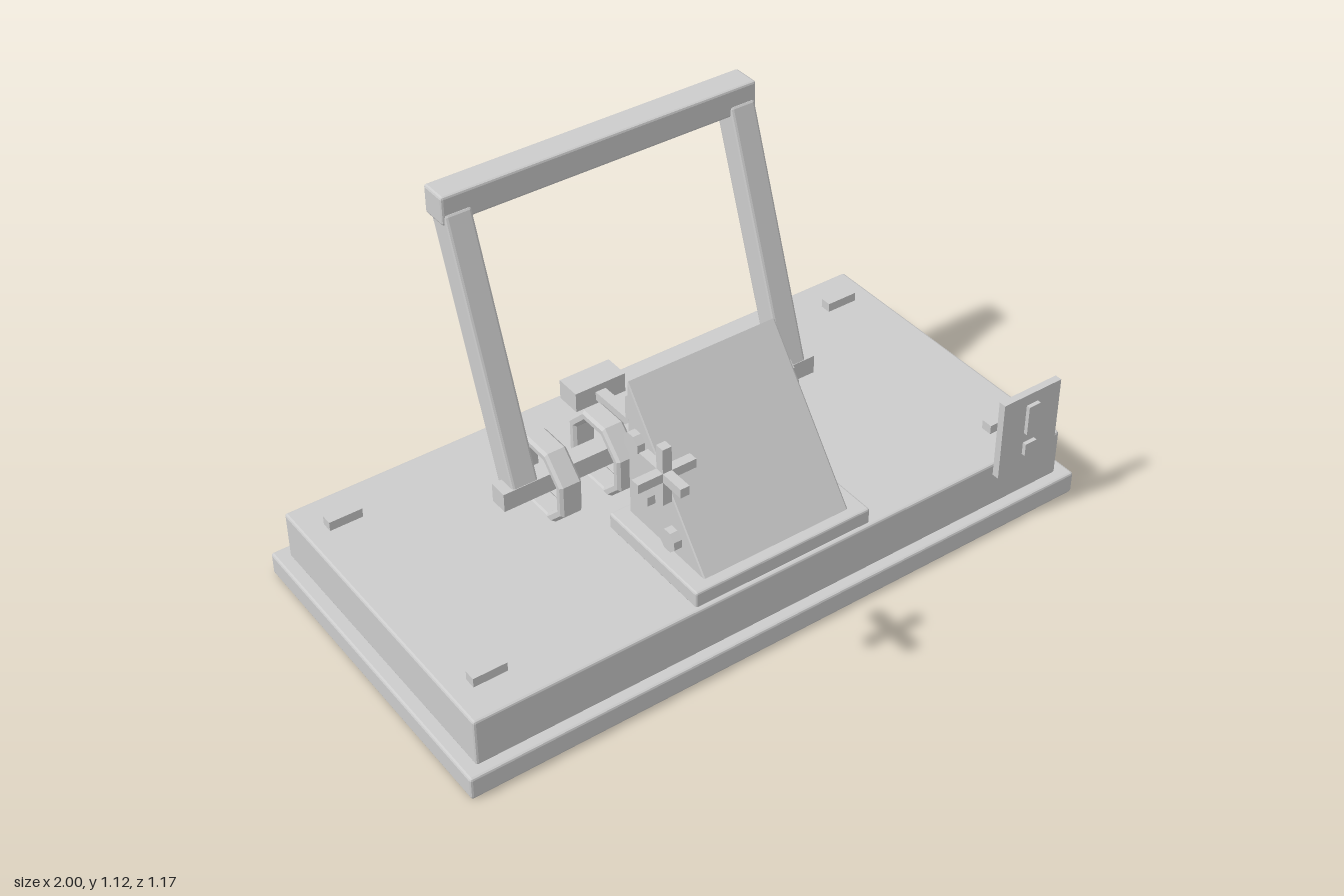
import * as THREE from 'three';
import { RoundedBoxGeometry } from 'three/addons/geometries/RoundedBoxGeometry.js';

export function createModel() {
  const root = new THREE.Group();
  root.name = 'springTrap';
  const grey = new THREE.MeshStandardMaterial({ color: 0xcccccc, flatShading: true });
  grey.name = 'plainGrey';

  function add(name, geometry, x = 0, y = 0, z = 0, parent = root) {
    const mesh = new THREE.Mesh(geometry, grey);
    mesh.name = name;
    mesh.position.set(x, y, z);
    parent.add(mesh);
    return mesh;
  }

  // Box given by its min and max corners, chamfered when bevel > 0
  function block(name, [x0, y0, z0], [x1, y1, z1], bevel = 0, parent = root) {
    const size = [x1 - x0, y1 - y0, z1 - z0];
    const geo = bevel ? new RoundedBoxGeometry(...size, 1, bevel) : new THREE.BoxGeometry(...size);
    return add(name, geo, (x0 + x1) / 2, (y0 + y1) / 2, (z0 + z1) / 2, parent);
  }

  // Side profile in (z, y), extruded along x and centred
  function slab(shape, width, bevel) {
    const depth = width - 2 * bevel;
    const geo = new THREE.ExtrudeGeometry(shape, {
      depth, bevelEnabled: true, bevelSegments: 1,
      bevelSize: bevel, bevelThickness: bevel, bevelOffset: -bevel,
    });
    return geo.translate(0, 0, -depth / 2).rotateY(-Math.PI / 2);
  }

  function octagon(apothem) {
    const r = apothem / Math.cos(Math.PI / 8);
    return Array.from({ length: 8 }, (_, i) => {
      const a = (i + 0.5) * Math.PI / 4;
      return new THREE.Vector2(r * Math.cos(a), r * Math.sin(a));
    });
  }

  // Stepped base
  block('baseFoot', [-1, 0, -0.585], [1, 0.07, 0.445], 0.007);
  block('baseBoard', [-0.96, 0.065, -0.55], [0.96, 0.215, 0.41], 0.007);

  // Corner staples
  for (const x of [-0.845, 0.845])
    for (const z of [-0.432, 0.289])
      block('staple', [x - 0.05, 0.205, z - 0.017], [x + 0.05, 0.243, z + 0.017]);

  // Wedge on its tray
  block('wedgeTray', [-0.285, 0.21, 0.005], [0.285, 0.262, 0.397], 0.006);
  const wedge = new THREE.Shape([
    new THREE.Vector2(0.365, 0.26), new THREE.Vector2(0.03, 0.26), new THREE.Vector2(0.03, 0.692),
  ].reverse());
  add('wedge', slab(wedge, 0.472, 0.004));

  // Round studs on the wedge sides: side, z, y, radius
  const studs = [
    [1, 0.065, 0.543, 0.028], [1, 0.143, 0.363, 0.048],
    [-1, 0.075, 0.53, 0.034], [-1, 0.115, 0.385, 0.037], [-1, 0.235, 0.315, 0.034],
  ];
  for (const [side, z, y, r] of studs) {
    const geo = new THREE.CylinderGeometry(r, r, 0.05, 8).rotateY(Math.PI / 8).rotateZ(Math.PI / 2);
    add('stud', geo, side * 0.235, y, z);
  }

  // Spring coils on a square shaft
  const ring = new THREE.Shape(octagon(0.12));
  ring.holes.push(new THREE.Path(octagon(0.09).reverse()));
  const ringGeo = slab(ring, 0.068, 0.008);
  for (let i = -2; i <= 2; i++) add('springCoil', ringGeo, i * 0.182, 0.31, -0.17);
  block('shaft', [-0.518, 0.281, -0.199], [0.518, 0.339, -0.141]);

  // Leaning hammer frame
  for (const side of [-1, 1]) {
    const arm = add('hammerArm', new RoundedBoxGeometry(0.08, 0.78, 0.078, 1, 0.008),
      side * 0.448, 0.684, -0.305);
    arm.rotation.x = -0.337;
  }
  block('hammerBar', [-0.494, 1.032, -0.486], [0.494, 1.117, -0.4], 0.007);

  // Trigger rod and its catch
  const rod = add('triggerRod', new THREE.BoxGeometry(0.034, 0.028, 0.475), 0, 0.247, -0.227);
  rod.rotation.x = -0.02;
  block('triggerCatch', [-0.084, 0.21, -0.537], [0.084, 0.278, -0.455]);

  // Upright tag with an exclamation shape in relief
  block('tagPlate', [0.71, 0.183, 0.415], [0.914, 0.435, 0.437]);
  block('tagBar', [0.792, 0.305, 0.43], [0.832, 0.4, 0.449]);
  block('tagDot', [0.792, 0.232, 0.43], [0.832, 0.272, 0.449]);

  // Floating three-axis spark
  const spark = new THREE.Group();
  spark.name = 'spark';
  spark.position.set(-0.455, 0.815, 0.503);
  root.add(spark);
  for (let axis = 0; axis < 3; axis++) {
    const size = [0.026, 0.026, 0.026];
    size[axis] = 0.167;
    add('sparkBar', new THREE.BoxGeometry(...size), 0, 0, 0, spark);
  }

  return root;
}
